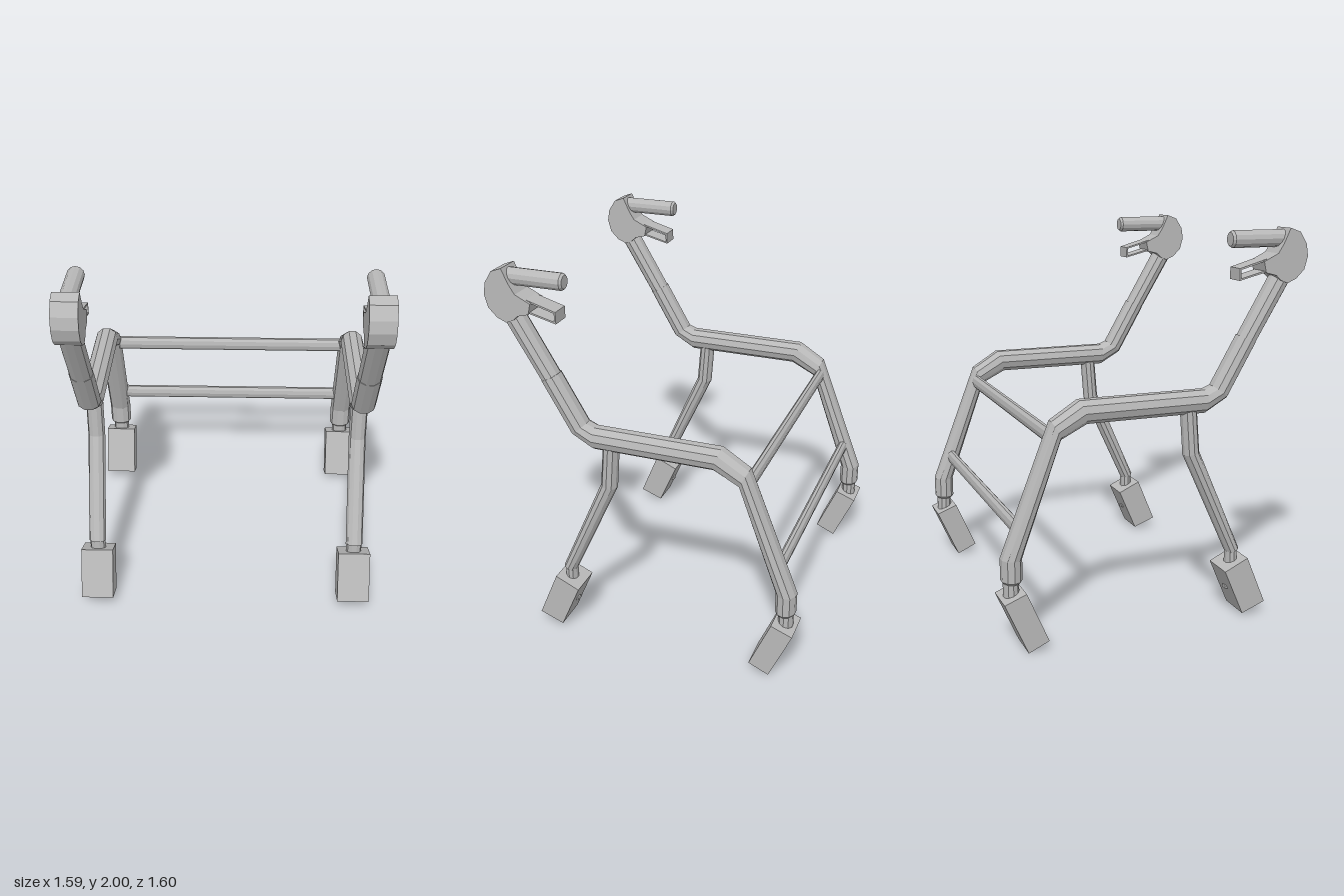
import * as THREE from 'three';

const metal = new THREE.MeshStandardMaterial({ color: 0xb8b8b8 });
metal.name = 'grey metal';

function mesh(name, geometry) {
  const g = geometry.index ? geometry.toNonIndexed() : geometry;
  g.computeVertexNormals(); // faceted look
  const m = new THREE.Mesh(g, metal);
  m.name = name;
  return m;
}

// Faceted tube through sections [zA, yA, zB, yB, halfWidth]: two opposite edges in the side plane
function tube(name, sections, sides = 10) {
  const pos = [], idx = [], k = 0.5 / Math.cos(Math.PI / sides);
  for (const [za, ya, zb, yb, w] of sections) {
    for (let j = 0; j < sides; j++) {
      const a = Math.PI / 2 + (j / sides) * Math.PI * 2, c = Math.cos(a) * k;
      pos.push(Math.sin(a) * w, (ya + yb) / 2 + (yb - ya) * c, (za + zb) / 2 + (zb - za) * c);
    }
  }
  const last = (sections.length - 1) * sides;
  for (let i = 0; i < last; i += sides) {
    for (let j = 0; j < sides; j++) {
      const a = i + j, b = i + (j + 1) % sides;
      idx.push(a, b, b + sides, a, b + sides, a + sides);
    }
  }
  for (let j = 1; j < sides - 1; j++) idx.push(0, j + 1, j, last, last + j, last + j + 1);
  const g = new THREE.BufferGeometry();
  g.setAttribute('position', new THREE.Float32BufferAttribute(pos, 3));
  g.setIndex(idx);
  return mesh(name, g);
}

// Side profile of [z, y] points, extruded across x
function plate(name, points, width, hole) {
  const toVec = (p) => new THREE.Vector2(p[0], p[1]);
  const shape = new THREE.Shape(points.map(toVec));
  if (hole) shape.holes.push(new THREE.Path(hole.map(toVec)));
  const g = new THREE.ExtrudeGeometry(shape, { depth: width, bevelEnabled: false });
  g.translate(0, 0, -width / 2).rotateY(-Math.PI / 2);
  return mesh(name, g);
}

function sideFrame(name) {
  const side = new THREE.Group();
  side.name = name;

  // Bent main tube: grip stem, level rail, rear leg
  side.add(tube('gripStem', [
    [0.74, 1.755, 0.64, 1.78, 0.06],
    [0.535, 1.415, 0.455, 1.465, 0.06],
  ]));
  side.add(tube('mainTube', [
    [0.547, 1.432, 0.457, 1.477, 0.0635],
    [0.395, 1.168, 0.315, 1.231, 0.0635],
    [0.273, 1.098, 0.273, 1.215, 0.0635],
    [-0.353, 1.098, -0.39, 1.215, 0.0635],
    [-0.485, 1.032, -0.533, 1.125, 0.0635],
    [-0.687, 0.467, -0.788, 0.467, 0.0625],
    [-0.687, 0.357, -0.788, 0.357, 0.0625],
    [-0.698, 0.345, -0.777, 0.345, 0.052],
  ]));
  side.add(tube('rearAnkle', [
    [-0.703, 0.36, -0.777, 0.36, 0.046],
    [-0.703, 0.25, -0.777, 0.25, 0.046],
  ]));

  // Front leg
  side.add(tube('frontLeg', [
    [0.231, 1.13, 0.151, 1.13, 0.046],
    [0.25, 0.9, 0.17, 0.885, 0.046],
    [0.488, 0.36, 0.425, 0.335, 0.046],
  ]));
  side.add(tube('frontAnkle', [
    [0.482, 0.36, 0.422, 0.345, 0.042],
    [0.485, 0.26, 0.422, 0.26, 0.042],
  ]));

  // Slanted block feet
  side.add(plate('frontFoot', [[0.507, 0.318], [0.379, 0.26], [0.485, 0.016], [0.613, 0.064]], 0.174));
  side.add(plate('rearFoot', [[-0.687, 0.308], [-0.798, 0.265], [-0.682, 0.0], [-0.576, 0.048]], 0.174));
  const stud = mesh('footStud', new THREE.BoxGeometry(0.035, 0.015, 0.03));
  stud.position.set(0, 0.143, 0.434);
  side.add(stud);

  // Rounded grip housing
  side.add(plate('gripHousing', [
    [0.7, 2.0], [0.755, 1.98], [0.793, 1.92], [0.803, 1.86], [0.785, 1.795], [0.74, 1.75],
    [0.692, 1.73], [0.655, 1.745], [0.628, 1.77], [0.57, 1.785], [0.557, 1.84],
    [0.635, 1.878], [0.665, 1.925],
  ], 0.128));

  // Handle with a chamfered end
  const handle = mesh('handle', new THREE.LatheGeometry(
    [[0, 0], [0.034, 0], [0.043, 0.012], [0.043, 0.3], [0, 0.3]].map(([r, y]) => new THREE.Vector2(r, y)), 12));
  handle.rotation.x = Math.PI / 2;
  handle.position.set(0, 1.948, 0.4);
  side.add(handle);

  // Brake lever: thin open loop
  side.add(plate('brakeLever',
    [[0.6, 1.858], [0.432, 1.81], [0.432, 1.75], [0.6, 1.792]], 0.1,
    [[0.59, 1.846], [0.44, 1.803], [0.44, 1.76], [0.59, 1.799]]));
  return side;
}

export function createModel() {
  const model = new THREE.Group();
  model.name = 'walkingFrame';
  for (const s of [1, -1]) {
    const side = sideFrame(s > 0 ? 'leftSide' : 'rightSide');
    side.position.x = s * 0.708;
    model.add(side);
  }
  // Cross bars between the rear legs
  for (const [name, y, z] of [['upperCrossBar', 1.045, -0.527], ['lowerCrossBar', 0.6, -0.692]]) {
    const bar = mesh(name, new THREE.CylinderGeometry(0.04, 0.04, 1.36, 10).rotateZ(Math.PI / 2).scale(1, 1, 0.65));
    bar.position.set(0, y, z);
    model.add(bar);
  }
  return model;
}
